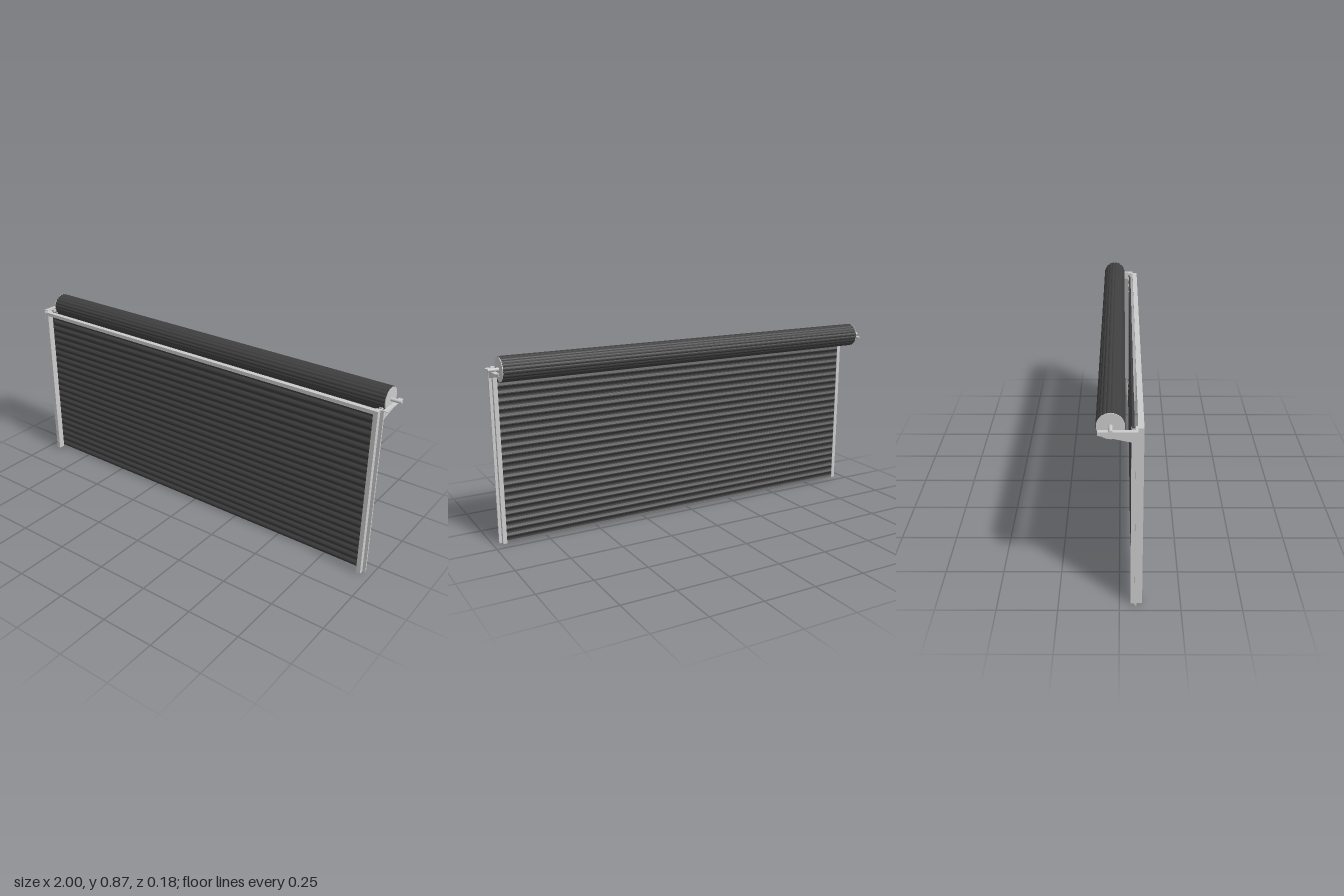
import * as THREE from 'three';

const steel = new THREE.MeshStandardMaterial({ color: 0xcccccc });
const dark = new THREE.MeshStandardMaterial({ color: 0x404040 });

const AXLE_Y = 0.818, AXLE_Z = -0.032, HALF_W = 0.95;

export function createModel() {
  const model = new THREE.Group();
  model.name = 'rollerShutter';

  const add = (name, geometry, material = steel, parent = model) => {
    const mesh = new THREE.Mesh(geometry, material);
    mesh.name = name;
    parent.add(mesh);
    return mesh;
  };

  // box given by its limits on each axis
  const box = (name, x0, x1, y0, y1, z0, z1, parent) => {
    const mesh = add(name, new THREE.BoxGeometry(x1 - x0, y1 - y0, z1 - z0), steel, parent);
    mesh.position.set((x0 + x1) / 2, (y0 + y1) / 2, (z0 + z1) / 2);
    return mesh;
  };

  // side profile of [z, y] points, extruded from x0 to x1
  const sideExtrude = (points, x0, x1) => {
    const shape = new THREE.Shape(points.map(([z, y]) => new THREE.Vector2(-z, y)));
    return new THREE.ExtrudeGeometry(shape, { depth: x1 - x0, bevelEnabled: false })
      .rotateY(Math.PI / 2)
      .translate(x0, 0, 0);
  };

  // curtain: a thin sheet of interlocking slats, each bowed to the front
  const slats = 23, pitch = 0.8 / slats, steps = 6;
  const front = [];
  for (let i = 0; i < slats; i++) {
    for (let k = 0; k <= steps; k++) {
      const t = k / steps;
      front.push([0.05 + 0.008 * Math.sin(Math.PI * t), (i + 0.88 * t) * pitch]);
    }
  }
  front.push([0.05, 0.8]);
  const back = front.map(([z, y]) => [z - 0.002, y]).reverse();
  add('curtain', sideExtrude([...front, ...back], -HALF_W, HALF_W), dark);

  // rolled curtain on the drum, with one shallow bulge per slat
  const ring = [];
  const bulges = 20, per = 4;
  for (let i = 0; i < bulges * per; i++) {
    const a = (i / (bulges * per)) * Math.PI * 2;
    const r = 0.0535 + 0.0025 * Math.sin((Math.PI * (i % per)) / per);
    ring.push([AXLE_Z + r * Math.cos(a), AXLE_Y + r * Math.sin(a)]);
  }
  add('rolledCurtain', sideExtrude(ring, -HALF_W + 0.001, HALF_W - 0.001), dark);

  // axle through the drum
  const axle = add('axle', new THREE.CylinderGeometry(0.008, 0.008, 2, 20).rotateZ(Math.PI / 2));
  axle.position.set(0, AXLE_Y, AXLE_Z);

  for (const s of [-1, 1]) {
    const side = s > 0 ? 'left' : 'right';

    // drum end plate
    const plate = add(side + 'EndPlate', new THREE.CylinderGeometry(0.054, 0.054, 0.004, 40).rotateZ(Math.PI / 2));
    plate.position.set(s * HALF_W, AXLE_Y, AXLE_Z);

    // guide rail: front tube, flange and a channel holding the curtain edge
    const rail = new THREE.Group();
    rail.name = side + 'GuideRail';
    model.add(rail);
    const strip = (name, a, b, z0, z1) =>
      box(name, Math.min(s * a, s * b), Math.max(s * a, s * b), 0, 0.81, z0, z1, rail);
    strip('frontTube', 0.935, 0.955, 0.07, 0.093);
    strip('flange', 0.935, 0.97, 0.062, 0.07);
    strip('channelSide', 0.952, 0.957, 0.046, 0.062);
    strip('channelBack', 0.938, 0.957, 0.045, 0.0475);

    // angle bracket: tapered web under a flat top, the same hand at both ends
    const bracket = new THREE.Group();
    bracket.name = side + 'Bracket';
    model.add(bracket);
    const x0 = s > 0 ? 0.965 : -0.985;
    const web = [[0.07, 0.763], [0.07, 0.81], [-0.08, 0.81], [-0.08, 0.796]];
    add('web', sideExtrude(web, x0, x0 + 0.003), steel, bracket);
    box('topFlange', x0, x0 + 0.02, 0.807, 0.81, -0.08, 0.07, bracket);
  }

  // lintel joining the rails
  box('header', -0.955, 0.955, 0.793, 0.81, 0.07, 0.093);

  return model;
}
